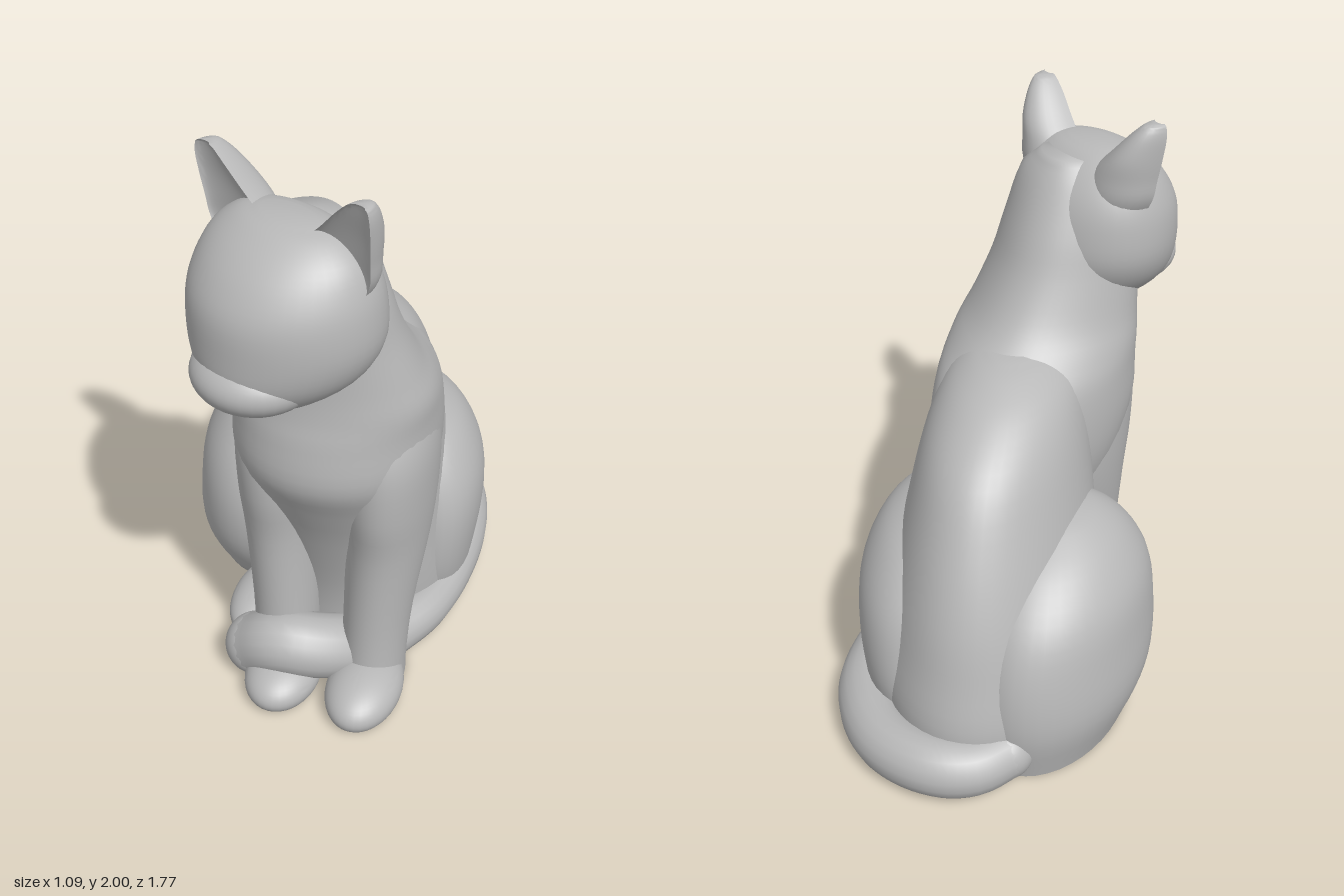
import * as THREE from 'three';
import { toCreasedNormals } from 'three/addons/utils/BufferGeometryUtils.js';

const stone = new THREE.MeshStandardMaterial({ color: 0xb8b8b8 });
stone.name = 'grey stone';

function add(parent, name, geometry) {
  const mesh = new THREE.Mesh(geometry, stone);
  mesh.name = name;
  parent.add(mesh);
}

// Smooth stack of horizontal rings. Row: [y, centre x, back z, front z, half width].
// taper narrows the front (negative: the back), skew shifts x along z, hollow dents the front face.
function loft(rows, { taper = 0, skew = 0, hollow = 0, sides = 40, steps = 4 } = {}) {
  const curve = new THREE.CubicInterpolant(rows.map((r, i) => i), rows.flat(), 5);
  const count = (rows.length - 1) * steps;
  const pos = [], index = [];
  for (let i = 0; i <= count; i++) {
    const [y, xc, zb, zf, hw] = curve.evaluate(i / steps);
    for (let j = 0; j < sides; j++) {
      const t = (j / sides) * Math.PI * 2;
      let c = Math.cos(t);
      if (hollow && c > 0) c *= -hollow;
      const z = (zb + zf) / 2 + ((zf - zb) / 2) * c;
      pos.push(xc + skew * z + hw * Math.sin(t) * (1 - taper * c), y, z);
    }
  }
  for (let i = 0; i < count; i++) {
    for (let j = 0; j < sides; j++) {
      const a = i * sides + j, b = i * sides + ((j + 1) % sides);
      index.push(a, b, a + sides, b, b + sides, a + sides);
    }
  }
  // End caps
  for (const [row, base, top] of [[rows[0], 0, false], [rows[rows.length - 1], count * sides, true]]) {
    const z = (row[2] + row[3]) / 2 - (hollow ? (row[3] - row[2]) * 0.3 : 0), mid = pos.length / 3;
    pos.push(row[1] + skew * z, row[0], z);
    for (let j = 0; j < sides; j++) {
      const a = base + j, b = base + ((j + 1) % sides);
      if (top) index.push(mid, a, b);
      else index.push(mid, b, a);
    }
  }
  const g = new THREE.BufferGeometry();
  g.setAttribute('position', new THREE.Float32BufferAttribute(pos, 3));
  g.setIndex(index);
  return toCreasedNormals(g, 1.1);
}

function ellipsoid(x, y, z, rx, ry, rz) {
  return new THREE.SphereGeometry(1, 36, 28).scale(rx, ry, rz).translate(x, y, z);
}

// Flattens whatever would sink below the ground plane
function flattenBase(g) {
  const p = g.attributes.position;
  for (let i = 0; i < p.count; i++) p.setY(i, Math.max(0, p.getY(i)));
  return toCreasedNormals(g, 0.8);
}

// Tube whose radius follows a list of values along the path
function taperedTube(points, radii) {
  const path = new THREE.CatmullRomCurve3(points.map((p) => new THREE.Vector3(...p)));
  const seg = 90, sides = 18;
  const g = new THREE.TubeGeometry(path, seg, 1, sides);
  const p = g.attributes.position, v = new THREE.Vector3();
  for (let i = 0; i <= seg; i++) {
    const c = path.getPointAt(i / seg);
    const f = (i / seg) * (radii.length - 1), k = Math.min(Math.floor(f), radii.length - 2);
    const r = THREE.MathUtils.lerp(radii[k], radii[k + 1], f - k);
    for (let j = 0; j <= sides; j++) {
      const n = i * (sides + 1) + j;
      v.fromBufferAttribute(p, n).sub(c).multiplyScalar(r).add(c);
      p.setXYZ(n, v.x, v.y, v.z);
    }
  }
  return flattenBase(g);
}

export function createModel() {
  const cat = new THREE.Group();
  cat.name = 'sittingCat';

  // Seated rear mass and sloping back
  add(cat, 'back', loft([
    [0, 0.08, -0.72, 0.3, 0.41], [0.2, 0.08, -0.75, 0.32, 0.415], [0.4, 0.08, -0.71, 0.34, 0.395],
    [0.6, 0.08, -0.66, 0.38, 0.36], [0.82, 0.085, -0.57, 0.42, 0.32], [1.02, 0.09, -0.45, 0.45, 0.28],
    [1.15, 0.095, -0.28, 0.45, 0.235], [1.22, 0.1, -0.12, 0.42, 0.17], [1.25, 0.1, 0, 0.35, 0.1],
  ], { skew: 0.2, taper: -0.08, sides: 48 }));

  // Chest and neck, widest at the shoulders
  add(cat, 'chestAndNeck', loft([
    [0, 0.15, -0.05, 0.42, 0.2], [0.3, 0.15, -0.1, 0.44, 0.21], [0.6, 0.15, -0.2, 0.53, 0.26],
    [0.8, 0.14, -0.25, 0.62, 0.305], [0.95, 0.14, -0.26, 0.69, 0.325], [1.1, 0.14, -0.19, 0.68, 0.325],
    [1.2, 0.14, -0.04, 0.66, 0.32], [1.3, 0.13, 0.08, 0.65, 0.295], [1.45, 0.11, 0.18, 0.65, 0.265],
    [1.6, 0.1, 0.25, 0.65, 0.24], [1.75, 0.1, 0.33, 0.6, 0.19], [1.83, 0.1, 0.39, 0.55, 0.11],
  ], { sides: 48, taper: -0.27 }));

  // Haunches
  add(cat, 'leftHaunch', loft([
    [0, 0.34, -0.6, 0.08, 0.2], [0.2, 0.355, -0.66, 0.13, 0.215], [0.4, 0.36, -0.65, 0.135, 0.23],
    [0.55, 0.35, -0.6, 0.11, 0.225], [0.68, 0.325, -0.5, 0.06, 0.185], [0.75, 0.29, -0.38, 0.01, 0.13],
    [0.785, 0.25, -0.24, -0.06, 0.06],
  ], { skew: 0.28 }));
  add(cat, 'rightHaunch', loft([
    [0, -0.26, -0.6, 0.12, 0.22], [0.2, -0.26, -0.64, 0.23, 0.28], [0.4, -0.26, -0.62, 0.26, 0.27],
    [0.57, -0.25, -0.55, 0.23, 0.25], [0.7, -0.22, -0.42, 0.16, 0.2], [0.78, -0.19, -0.27, 0.07, 0.13],
    [0.81, -0.18, -0.18, -0.02, 0.06],
  ]));
  add(cat, 'rightHindPaw', flattenBase(ellipsoid(-0.17, 0.05, 0.27, 0.11, 0.08, 0.2)));

  // Front legs, mirrored about the chest centre
  for (const side of [1, -1]) {
    const cx = (d) => 0.152 + side * d;
    add(cat, side > 0 ? 'leftFrontLeg' : 'rightFrontLeg', loft([
      [0, cx(0.16), 0.28, 0.6, 0.11], [0.1, cx(0.16), 0.28, 0.585, 0.11], [0.3, cx(0.165), 0.24, 0.575, 0.115],
      [0.6, cx(0.18), 0.12, 0.58, 0.135], [0.8, cx(0.185), 0.08, 0.61, 0.145],
      [1.0, cx(0.185), 0.1, 0.61, 0.145], [1.15, cx(0.175), 0.14, 0.55, 0.12], [1.22, cx(0.17), 0.24, 0.47, 0.06],
    ], { taper: -0.08 }));
  }
  add(cat, 'leftFrontPaw', flattenBase(ellipsoid(0.32, 0.05, 0.58, 0.13, 0.095, 0.2)));
  add(cat, 'rightFrontPaw', flattenBase(ellipsoid(0.03, 0.05, 0.6, 0.13, 0.09, 0.18)));

  // Tail wrapping the left side and resting over the right front paw
  const tailPath = [
    [-0.26, 0.11, -0.6], [-0.19, 0.1, -0.71], [-0.06, 0.1, -0.77], [0.14, 0.09, -0.74], [0.32, 0.085, -0.59],
    [0.42, 0.08, -0.38], [0.45, 0.08, -0.1], [0.41, 0.08, 0.18], [0.28, 0.09, 0.4], [0.14, 0.15, 0.54],
    [0.02, 0.17, 0.58], [-0.09, 0.1, 0.55],
  ];
  add(cat, 'tail', taperedTube(tailPath, [0.1, 0.11, 0.11, 0.11, 0.105, 0.095, 0.09, 0.085, 0.09, 0.11, 0.115, 0.11]));
  add(cat, 'tailTip', flattenBase(ellipsoid(...tailPath[11], 0.11, 0.11, 0.11)));
  add(cat, 'tailRoot', flattenBase(ellipsoid(...tailPath[0], 0.1, 0.1, 0.1)));

  // Head, turned a little to the right
  const head = new THREE.Group();
  head.name = 'head';
  head.position.set(0.085, 1.55, 0.5);
  head.rotation.y = -0.4;
  cat.add(head);
  add(head, 'skull', loft([
    [-0.265, 0, 0, 0.27, 0.1], [-0.22, 0, -0.1, 0.33, 0.19], [-0.14, 0, -0.16, 0.37, 0.27],
    [-0.04, 0, -0.19, 0.375, 0.312], [0.08, 0, -0.18, 0.365, 0.312], [0.17, 0, -0.15, 0.32, 0.29],
    [0.24, 0, -0.1, 0.255, 0.25], [0.29, 0, -0.04, 0.18, 0.18], [0.31, 0, 0.01, 0.12, 0.1],
  ], { taper: 0.1, sides: 44 }));
  add(head, 'muzzle', ellipsoid(0, -0.15, 0.215, 0.2, 0.112, 0.195));

  // Broad cupped ears growing out of the skull
  for (const side of [1, -1]) {
    add(head, side > 0 ? 'leftEar' : 'rightEar', loft([
      [0.08, side * 0.15, -0.05, 0.17, 0.1], [0.18, side * 0.175, -0.07, 0.21, 0.135],
      [0.26, side * 0.2, -0.06, 0.22, 0.122], [0.33, side * 0.238, -0.04, 0.22, 0.092],
      [0.4, side * 0.272, 0, 0.2, 0.062], [0.44, side * 0.29, 0.035, 0.17, 0.038],
      [0.45, side * 0.294, 0.055, 0.15, 0.024],
    ], { hollow: 0.2, sides: 32 }));
  }
  return cat;
}
